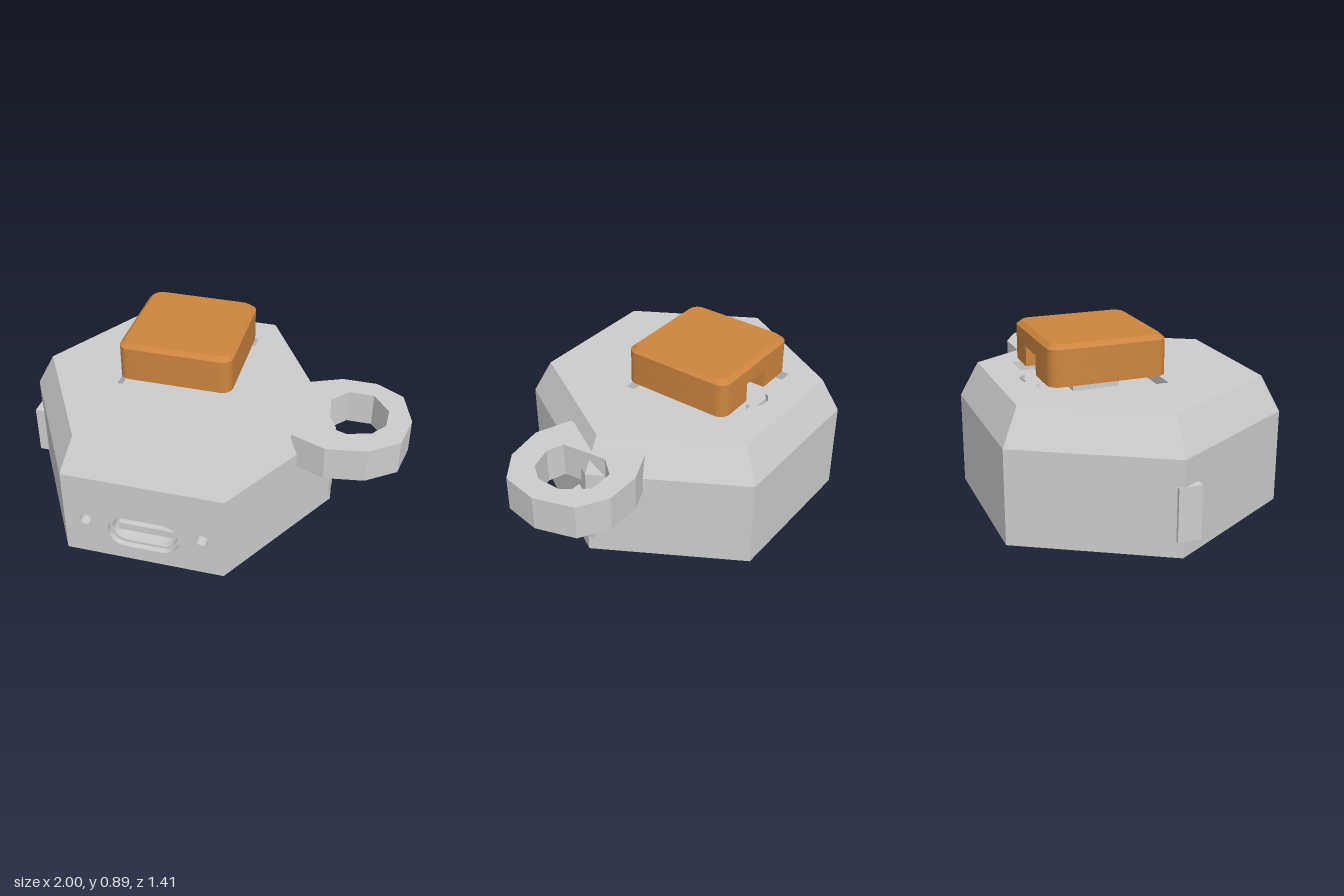
import * as THREE from 'three';
import { mergeGeometries, toCreasedNormals } from 'three/addons/utils/BufferGeometryUtils.js';

const CX = -0.185, R = 0.815, APOTHEM = R * Math.cos(Math.PI / 6);
const R_TOP = 0.7175, SHOULDER = 0.475, TOP = 0.655;

const toShape = pts => new THREE.Shape(pts.map(p => new THREE.Vector2(p[0], p[1])));

// Counter-clockwise rounded rectangle around the origin
function roundRect(w, h, r, n = 6) {
  const pts = [];
  [[1, 1], [-1, 1], [-1, -1], [1, -1]].forEach(([sx, sy], q) => {
    for (let i = 0; i <= n; i++) {
      const a = (q + i / n) * Math.PI / 2;
      const p = [sx * (w / 2 - r) + r * Math.cos(a), sy * (h / 2 - r) + r * Math.sin(a)];
      const last = pts[pts.length - 1];
      if (!last || Math.hypot(p[0] - last[0], p[1] - last[1]) > 1e-4) pts.push(p);
    }
  });
  const a = pts[0], b = pts[pts.length - 1];
  if (Math.hypot(a[0] - b[0], a[1] - b[1]) < 1e-4) pts.pop();
  return pts;
}

const hexagon = r => Array.from({ length: 6 }, (_, i) =>
  [CX + r * Math.cos(i * Math.PI / 3), r * Math.sin(i * Math.PI / 3)]);

// Skin an outline through steps of [z, scaleX, scaleY], closing the last (and first) section
function loft(pts, steps, closeStart = false) {
  const pos = [];
  const at = (i, [z, sx, sy]) => [pts[i % pts.length][0] * sx, pts[i % pts.length][1] * sy, z];
  for (let s = 0; s + 1 < steps.length; s++) {
    for (let i = 0; i < pts.length; i++) {
      const a = at(i, steps[s]), b = at(i + 1, steps[s]);
      const c = at(i + 1, steps[s + 1]), d = at(i, steps[s + 1]);
      pos.push(...a, ...b, ...c, ...a, ...c, ...d);
    }
  }
  const cap = ([z, sx, sy]) => {
    const g = new THREE.ShapeGeometry(toShape(pts.map(p => [p[0] * sx, p[1] * sy]))).toNonIndexed();
    g.translate(0, 0, z).deleteAttribute('uv');
    g.deleteAttribute('normal');
    return g;
  };
  const side = new THREE.BufferGeometry();
  side.setAttribute('position', new THREE.Float32BufferAttribute(pos, 3));
  const parts = [side, cap(steps[steps.length - 1])];
  if (closeStart) parts.push(cap(steps[0]));
  return toCreasedNormals(mergeGeometries(parts), 0.6);
}

export function createModel() {
  const model = new THREE.Group();
  const shellGrey = new THREE.MeshStandardMaterial({ color: 0xcdcdcd, side: THREE.DoubleSide });
  const buttonOrange = new THREE.MeshStandardMaterial({ color: 0xcd853f, side: THREE.DoubleSide });

  function add(name, geo, mat = shellGrey, parent = model) {
    const m = new THREE.Mesh(geo, mat);
    m.name = name;
    parent.add(m);
    return m;
  }
  function box(name, x0, x1, y0, y1, z0, z1) {
    add(name, new THREE.BoxGeometry(x1 - x0, y1 - y0, z1 - z0))
      .position.set((x0 + x1) / 2, (y0 + y1) / 2, (z0 + z1) / 2);
  }
  // Flat panel with recessed pits behind its openings
  function panel(name, outline, pits) {
    const g = new THREE.Group();
    g.name = name;
    const shape = toShape(outline);
    for (const p of pits) {
      shape.holes.push(new THREE.Path(p.pts.map(q => new THREE.Vector2(q[0] + p.x, q[1] + p.y))));
      add(p.name, loft(p.pts, p.steps), shellGrey, g).position.set(p.x, p.y, 0);
    }
    add(name + 'Face', new THREE.ShapeGeometry(shape), shellGrey, g);
    model.add(g);
    return g;
  }
  const straight = d => [[0, 1, 1], [-d, 1, 1]];

  // Hexagonal housing: five plain walls and the sloping shoulder
  const walls = new THREE.CylinderGeometry(R, R, SHOULDER, 5, 1, true, Math.PI / 6, Math.PI * 5 / 3);
  add('housingWalls', toCreasedNormals(walls, 0.3)).position.set(CX, SHOULDER / 2, 0);
  const slope = new THREE.CylinderGeometry(R_TOP, R, TOP - SHOULDER, 6, 1, true, Math.PI / 6);
  add('housingShoulder', toCreasedNormals(slope, 0.3)).position.set(CX, (TOP + SHOULDER) / 2, 0);

  // Front wall with charging port and two pinholes
  const pin = x => ({ name: 'pinhole', x, y: 0.21, pts: roundRect(0.062, 0.062, 0.031), steps: straight(0.08) });
  const front = panel('frontWall',
    [[CX - R / 2, 0], [CX + R / 2, 0], [CX + R / 2, SHOULDER], [CX - R / 2, SHOULDER]], [
      pin(-0.48), pin(0.115),
      { name: 'portRecess', x: CX, y: 0.17, pts: roundRect(0.365, 0.18, 0.088, 8),
        steps: [[0, 1, 1], [-0.03, 1, 1], [-0.03, 0.918, 0.834], [-0.14, 0.918, 0.834]] },
    ]);
  front.position.z = APOTHEM;
  box('portShelf', -0.335, -0.035, 0.125, 0.165, 0.57, 0.64);
  box('portTongue', -0.295, -0.075, 0.165, 0.238, 0.57, 0.6);

  // Underside with countersunk screw holes and slots
  const screw = x => ({ name: 'screwHole', x, y: 0, pts: roundRect(0.175, 0.175, 0.0875),
    steps: [[0, 1, 1], [-0.055, 0.5, 0.5], [-0.2, 0.5, 0.5]] });
  const slot = x => ({ name: 'slot', x, y: -0.095, pts: roundRect(0.045, 0.17, 0.001, 1), steps: straight(0.06) });
  panel('underside', hexagon(R), [screw(0.32), screw(-0.69), slot(0), slot(-0.37)])
    .rotation.x = Math.PI / 2;

  // Top with the square switch well and its rounded bump at the back
  const well = [[-0.3, 0.3025], [-0.3, -0.3025], [0.3, -0.3025], [0.3, 0.3025]];
  for (let i = 0; i <= 10; i++) {
    const a = 0.453 + (Math.PI - 0.906) * i / 10;
    well.push([0.08 * Math.cos(a), 0.2675 + 0.08 * Math.sin(a)]);
  }
  const top = panel('topPlate', hexagon(R_TOP),
    [{ name: 'switchWell', x: CX, y: 0.1525, pts: well, steps: straight(0.05) }]);
  top.rotation.x = -Math.PI / 2;
  top.position.y = TOP;
  box('indicatorLamp', -0.24, -0.13, 0.6, 0.64, -0.47, -0.42);
  box('switchStem', -0.3, -0.07, 0.6, 0.72, -0.27, -0.03);

  // Floating square button: notched lower part, chamfered upper part
  const W = 0.585, H = 0.59, inset = (W - 0.045) / W;
  const cap = roundRect(W, H, 0.055, 6);
  const notched = [];
  cap.forEach((p, i) => {
    notched.push(p);
    // the notch sits on the back edge, between the first two corners
    if (i === 6) notched.push([0.09, H / 2], [0.09, 0.13], [-0.07, 0.13], [-0.07, H / 2]);
  });
  const button = new THREE.Group();
  button.name = 'button';
  add('buttonSkirt', loft(notched, [[0, 1, 1], [0.1, 1, 1]], true), buttonOrange, button);
  add('buttonCap', loft(cap, [[0.1, 1, 1], [0.178, 1, 1], [0.2, inset, inset]], true), buttonOrange, button);
  button.rotation.x = -Math.PI / 2;
  button.position.set(-0.183, 0.69, -0.146);
  model.add(button);

  // Faceted key loop, running into the housing corner
  const loop = toShape([[0.44, -0.25], [0.62, -0.32], [0.82, -0.288], [0.967, -0.18], [1, 0.01],
    [0.937, 0.21], [0.79, 0.295], [0.61, 0.295], [0.44, 0.22]]);
  loop.holes.push(new THREE.Path([[0.582, 0.09], [0.66, 0.182], [0.79, 0.182], [0.88, 0.065],
    [0.88, -0.06], [0.82, -0.14], [0.7, -0.175], [0.612, -0.145]].map(p => new THREE.Vector2(...p))));
  const ring = add('keyLoop', new THREE.ExtrudeGeometry(loop, { depth: 0.18, bevelEnabled: false }));
  ring.rotation.x = -Math.PI / 2;
  ring.position.y = 0.4;

  // Snap tabs at the two side corners
  box('leftTab', 0.585, 0.63, 0.08, 0.345, -0.028, 0.088);
  box('rightTab', -1, -0.952, 0.08, 0.345, -0.028, 0.088);

  return model;
}
